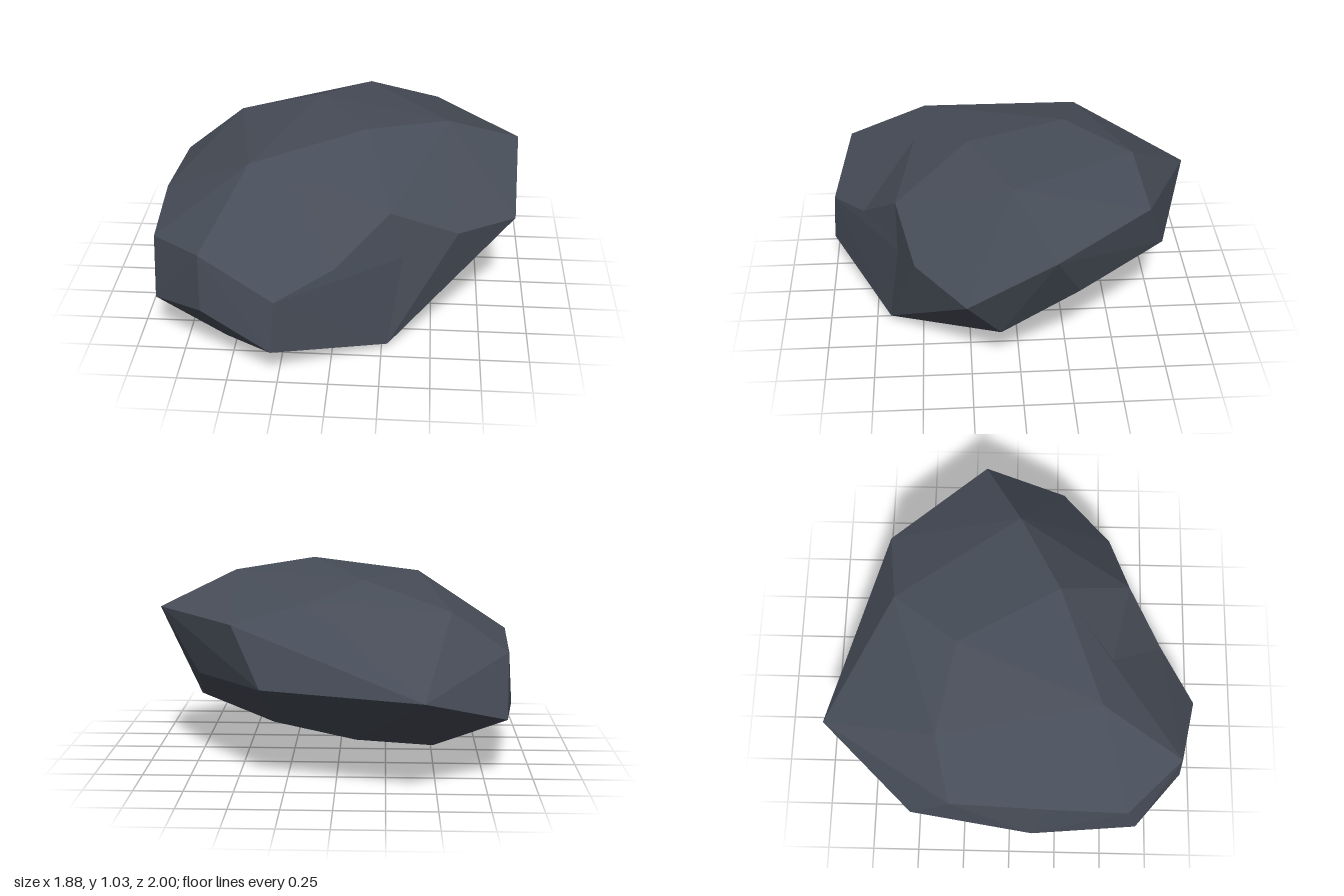
import * as THREE from 'three';
import { ConvexGeometry } from 'three/addons/geometries/ConvexGeometry.js';

const v = (x, y, z) => new THREE.Vector3(x, y, z);

// Corners that several of the overlapping chunks share
const crown = v(0.15, 1.03, 0.24);
const shoulder = v(0.56, 0.99, 0.03);
const sideHigh = v(0.94, 0.82, -0.16);
const sideMid = v(0.92, 0.56, 0.27);
const sideLow = v(0.77, 0.285, 0.10);
const frontFoot = v(0.28, 0.025, 0.675);
const frontPeak = v(0.28, 0.755, 0.615);
const dent = v(0.02, 0.54, 0.80);
const noseTop = v(-0.26, 0.45, 0.98);
const browEdge = v(-0.63, 0.645, 0.89);
const bulge = v(0.62, 0.60, 0.52);

// Corners of the main mass, grouped by region
const top = [crown, shoulder, v(-0.43, 0.925, 0.46), v(-0.13, 0.985, -0.28),
  v(-0.58, 0.84, -0.38), v(0.13, 0.925, -0.615)];
const leftSide = [sideHigh, sideMid, sideLow, v(0.725, 0.495, -0.295)];
const back = [v(-0.43, 0.52, -1), v(0.51, 0.82, -0.66), v(0.365, 0.52, -0.76)];
const rightSide = [v(-0.9, 0.58, 0.61), v(-0.9, 0.26, 0.675), v(-0.905, 0.645, 0.2),
  v(-0.945, 0.24, 0.12), v(-0.88, 0.62, -0.31), v(-0.86, 0.32, -0.53)];
const nose = [v(-0.28, 0.175, 1), v(-0.63, 0.345, 0.91)];
const underside = [frontFoot, v(-0.455, 0, 0.31), v(-0.54, 0.065, 0.71),
  v(-0.5, 0.09, -0.22), v(-0.095, 0.14, -0.3), v(0.33, 0.245, -0.34)];
const core = [...top, ...leftSide, ...back, ...rightSide, ...nose, ...underside, dent];

export function createModel() {
  const group = new THREE.Group();
  group.name = 'rock';
  const stone = new THREE.MeshStandardMaterial({ color: 0x474d58 });
  stone.name = 'slate stone';

  // Overlapping faceted chunks leave shallow hollows where they meet
  const addChunk = (name, points) => {
    const mesh = new THREE.Mesh(new ConvexGeometry(points), stone);
    mesh.name = name;
    group.add(mesh);
  };
  addChunk('noseChunk', [...core, noseTop, browEdge]);
  addChunk('peakChunk', [...core, frontPeak]);
  addChunk('bulgeChunk', [crown, shoulder, sideHigh, sideMid, sideLow, frontFoot, frontPeak, bulge]);
  return group;
}
